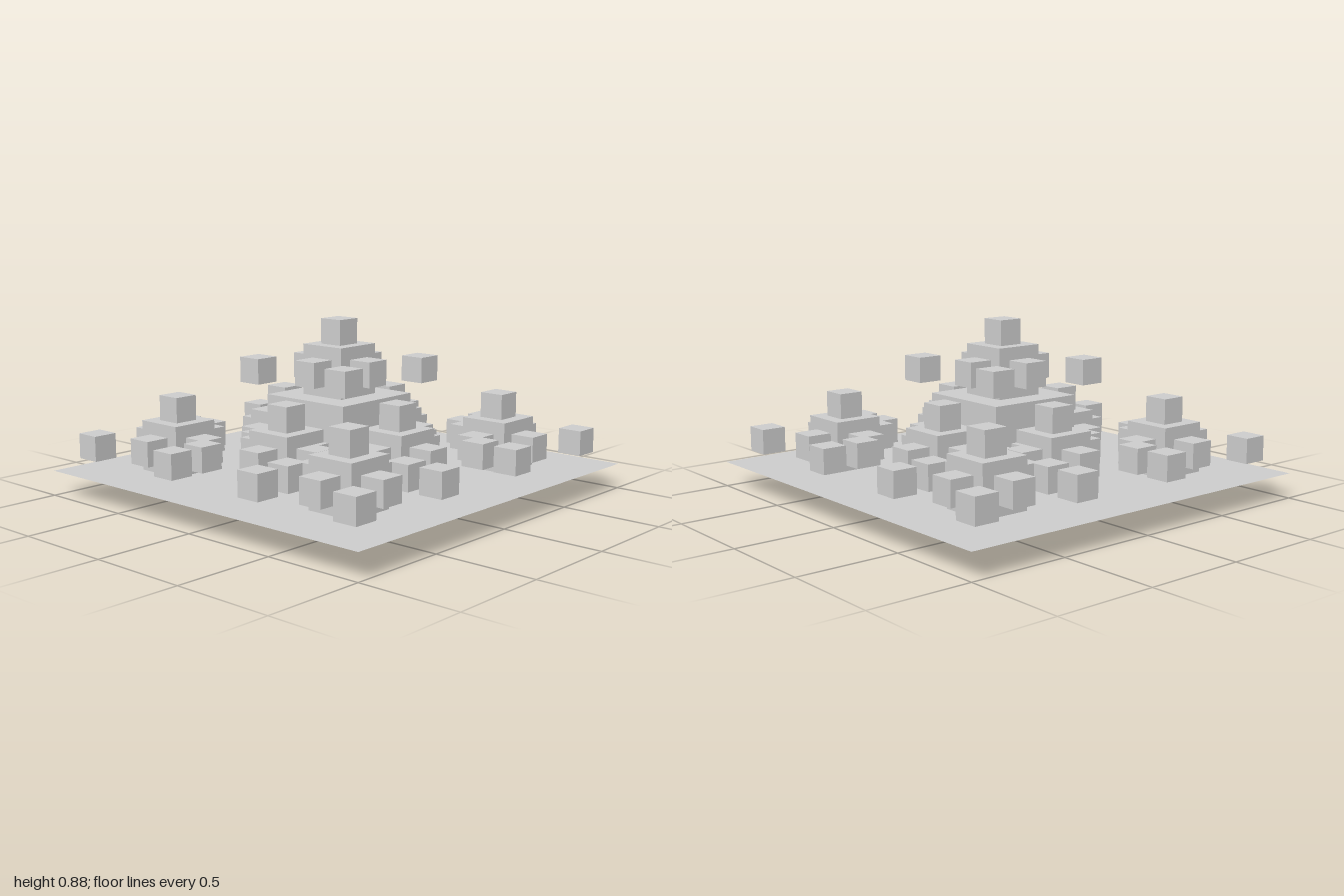
import * as THREE from 'three';

const material = new THREE.MeshStandardMaterial({ color: 0xcccccc, flatShading: true, side: THREE.DoubleSide });
const names = ['coreCube', 'branchCube', 'tipCube'];

// Directions a cube sprouts in: six faces plus four flat diagonals
const directions = [[0, 1, 0], [0, -1, 0]];
for (const s of [-1, 1]) {
  directions.push([s, 0, 0], [0, 0, s]);
  for (const t of [-1, 1]) directions.push([1.5 * s, 0, 1.5 * t]);
}

export function createModel() {
  const model = new THREE.Group();
  model.name = 'cubeFractal';
  const geometries = [0.5, 0.25, 0.125].map((s) => new THREE.BoxGeometry(s, s, s));
  const placed = new Set();

  // Each cube sprouts half-size cubes, down to the tips
  function sprout(x, y, z, level) {
    const key = [x, y, z, level].join();
    if (placed.has(key)) return;
    placed.add(key);
    const size = 0.5 / 2 ** level;
    // Tips swallowed by the core are left out
    const half = 0.25 - size / 2;
    if (level > 0 && Math.abs(x) <= half && Math.abs(y - 0.25) <= half && Math.abs(z) <= half) return;

    const cube = new THREE.Mesh(geometries[level], material);
    cube.name = names[level];
    cube.position.set(x, y, z);
    model.add(cube);

    if (level === 2) return;
    const step = size * 0.75;
    for (const [dx, dy, dz] of directions) {
      if (level === 0 && dy < 0) continue; // the core rests on the ground
      sprout(x + dx * step, y + dy * step, z + dz * step, level + 1);
    }
  }
  sprout(0, 0.25, 0, 0);

  // Thin square sheet cutting through the lower cubes
  const sheet = new THREE.Mesh(new THREE.PlaneGeometry(2, 2).rotateX(-Math.PI / 2), material);
  sheet.name = 'baseSheet';
  sheet.position.y = 0.125;
  model.add(sheet);
  return model;
}
